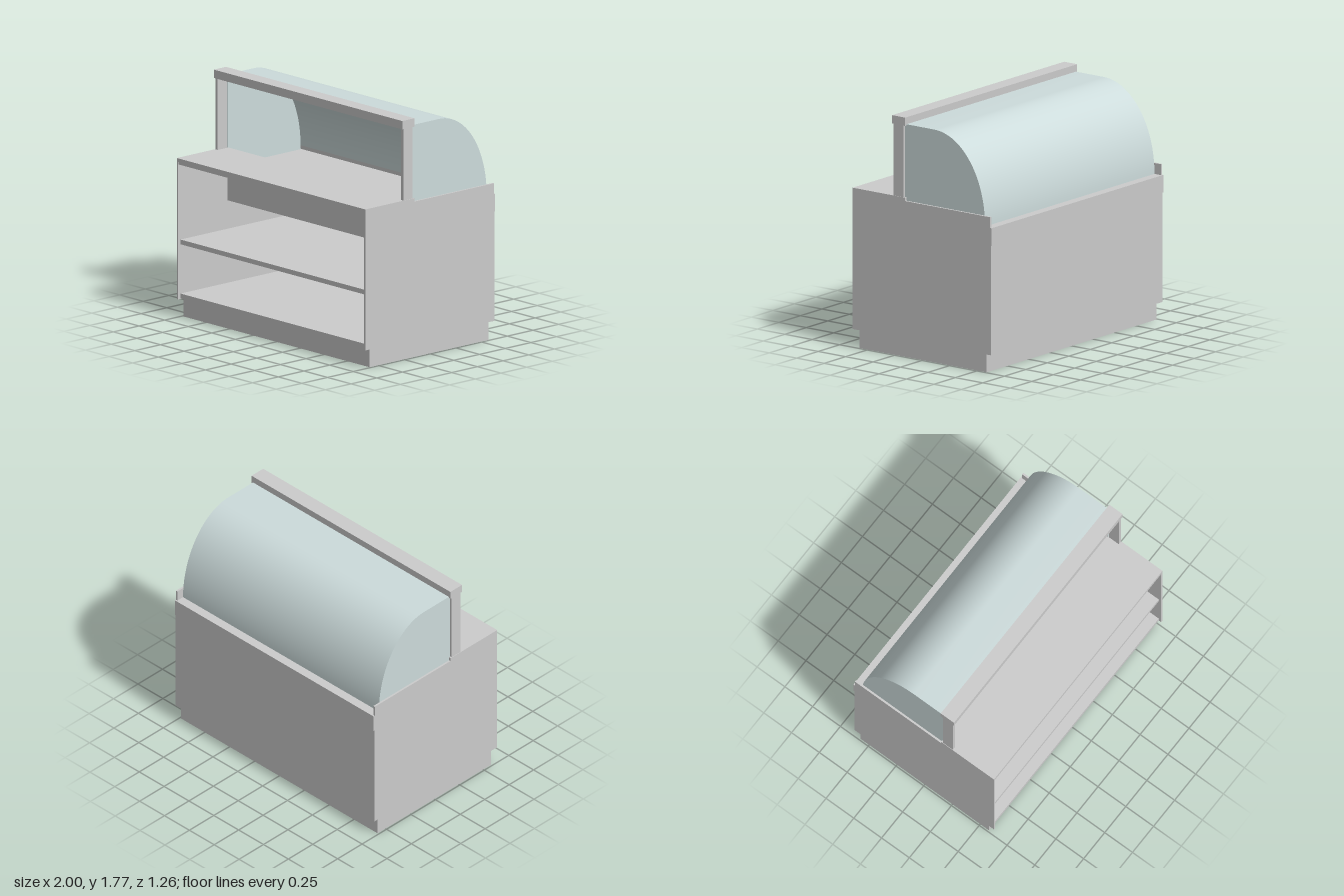
import * as THREE from 'three';
import { toCreasedNormals } from 'three/addons/utils/BufferGeometryUtils.js';

export function createModel() {
  const model = new THREE.Group();
  const grey = new THREE.MeshStandardMaterial({ color: 0xcccccc });
  const glass = new THREE.MeshStandardMaterial({ color: 0xccdbdb });

  const add = (name, geometry, material = grey) => {
    const mesh = new THREE.Mesh(geometry, material);
    mesh.name = name;
    model.add(mesh);
    return mesh;
  };
  // Box given by its limits on each axis
  const box = (name, x0, x1, y0, y1, z0, z1) =>
    add(name, new THREE.BoxGeometry(x1 - x0, y1 - y0, z1 - z0))
      .position.set((x0 + x1) / 2, (y0 + y1) / 2, (z0 + z1) / 2);
  // Box centred on x
  const wide = (name, halfWidth, ...limits) => box(name, -halfWidth, halfWidth, ...limits);

  // Cabinet carcass
  wide('plinth', 0.988, 0, 0.135, -0.58, 0.58);
  wide('backPanel', 0.998, 0.135, 0.95, -0.626, -0.6);
  wide('backRail', 1, 0.945, 1.075, -0.632, -0.6);
  wide('backLedge', 0.985, 1.0, 1.075, -0.61, -0.555);
  wide('bottomShelf', 0.985, 0.14, 0.175, -0.6, 0.61);
  wide('middleShelf', 0.985, 0.54, 0.575, -0.6, 0.61);

  // Display deck with the well housing beneath it
  wide('displayDeck', 0.985, 1.0, 1.045, -0.6, 0.155);
  wide('wellHousing', 0.985, 0.785, 1.0, -0.6, 0.15);

  // Service counter
  wide('counterTop', 1, 1.155, 1.18, 0.155, 0.632);
  wide('counterApron', 0.985, 1.135, 1.155, 0.155, 0.63);

  // Head rail on the two posts
  wide('headRail', 1, 1.71, 1.772, 0.153, 0.272);

  for (const [side, s] of [['left', 1], ['right', -1]]) {
    const sideBox = (name, a, b, ...limits) =>
      box(side + name, Math.min(s * a, s * b), Math.max(s * a, s * b), ...limits);
    sideBox('SidePanel', 0.985, 1, 0.135, 1.155, -0.62, 0.632);
    sideBox('Post', 0.972, 0.997, 1.155, 1.71, 0.17, 0.26);
  }

  // Canopy profile: flat top, then a quarter ellipse down to the back ledge
  const front = -0.165, bend = 0.1, base = 1.075, rx = 0.463, ry = 0.645, segments = 32;
  const curve = (inset) => Array.from({ length: segments + 1 }, (_, i) => {
    const a = Math.PI / 2 * (1 - i / segments);
    return new THREE.Vector2(bend + (rx - inset) * Math.cos(a), base + (ry - inset) * Math.sin(a));
  });
  const extrude = (points, x0, x1) => {
    const g = new THREE.ExtrudeGeometry(new THREE.Shape(points),
      { depth: x1 - x0, bevelEnabled: false });
    g.translate(0, 0, x0).rotateY(Math.PI / 2);
    return toCreasedNormals(g, 0.5);
  };

  const thickness = 0.018;
  add('curvedGlass', extrude([
    new THREE.Vector2(front, base + ry), ...curve(0),
    ...curve(thickness).reverse(), new THREE.Vector2(front, base + ry - thickness),
  ], -0.985, 0.985), glass);

  // End panes fill the profile on both sides
  const pane = [
    new THREE.Vector2(front, 1.045), new THREE.Vector2(front, base + ry - thickness),
    ...curve(thickness), new THREE.Vector2(bend + rx - thickness, 1.045),
  ];
  add('leftEndGlass', extrude(pane, 0.97, 0.985), glass);
  add('rightEndGlass', extrude(pane, -0.985, -0.97), glass);

  return model;
}
